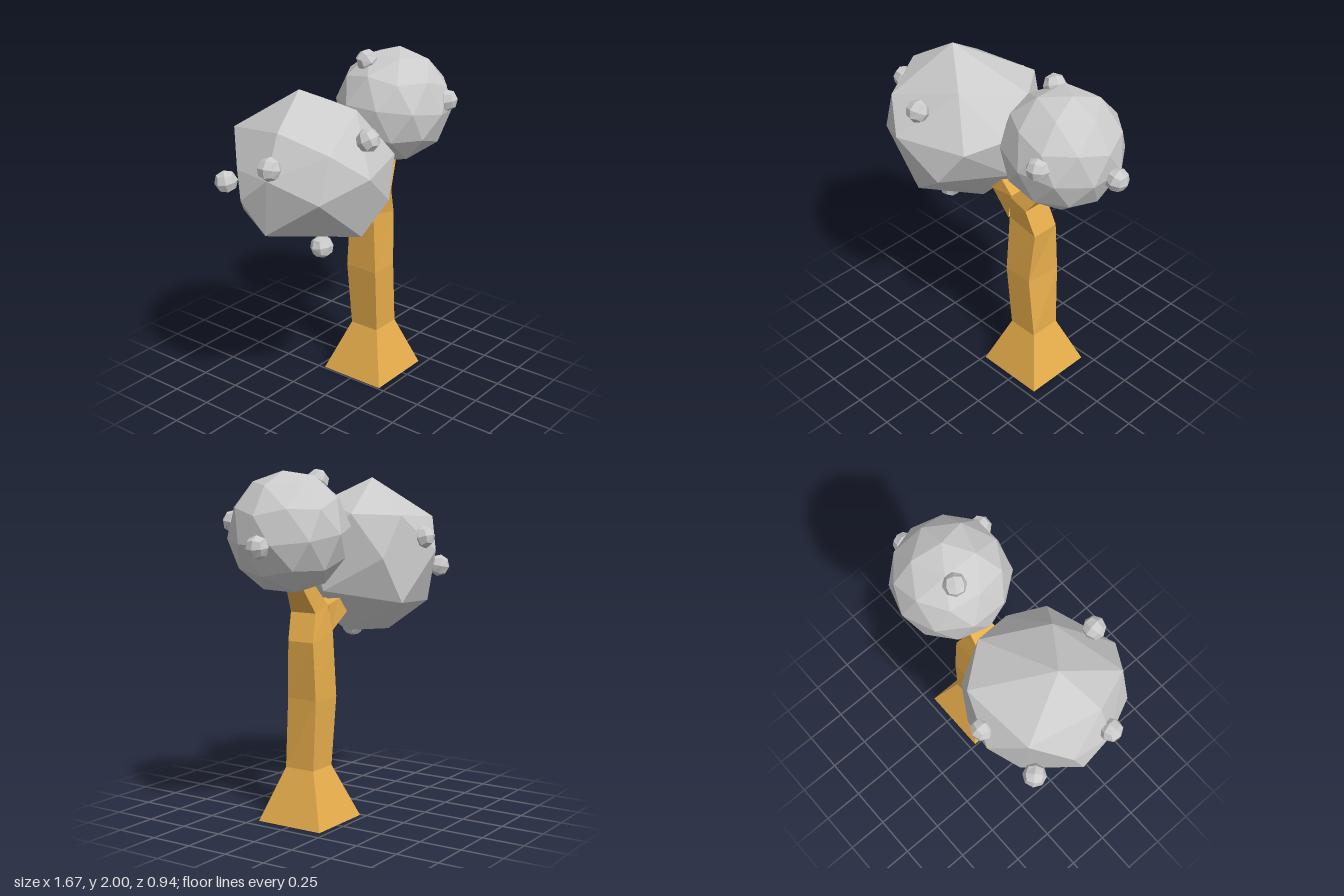
import * as THREE from 'three';
import { ConvexGeometry } from 'three/addons/geometries/ConvexGeometry.js';

const grey = new THREE.MeshStandardMaterial({ color: 0xcccccc, flatShading: true });
const wood = new THREE.MeshStandardMaterial({ color: 0xe8ae4c, flatShading: true, side: THREE.DoubleSide });

// Four corners of a section: left edge (xl, yl), right edge (xr, yr), front and back z
const section = ([xl, yl, xr, yr, zf, zb, twist = 0]) => [
  [xl, yl, zf], [xr - twist, yr, zf], [xr + twist, yr, zb], [xl, yl, zb]];

// Open four-sided skin through a list of sections
function loft(sections) {
  const pos = [], index = [];
  sections.map(section).forEach(s => s.forEach(p => pos.push(...p)));
  for (let r = 0; r < sections.length - 1; r++) {
    for (let i = 0; i < 4; i++) {
      const a = r * 4 + i, b = r * 4 + (i + 1) % 4;
      index.push(a, b, b + 4, a, b + 4, a + 4);
    }
  }
  const g = new THREE.BufferGeometry();
  g.setAttribute('position', new THREE.Float32BufferAttribute(pos, 3));
  g.setIndex(index);
  g.computeVertexNormals();
  return g;
}

// Ball made from a cube with each side split in four
function cubeBall(radius) {
  const g = new THREE.BoxGeometry(1, 1, 1, 2, 2, 2);
  const p = g.attributes.position, v = new THREE.Vector3();
  for (let i = 0; i < p.count; i++) {
    v.fromBufferAttribute(p, i).setLength(radius);
    p.setXYZ(i, v.x, v.y, v.z);
  }
  return g;
}

export function createModel() {
  const tree = new THREE.Group();
  tree.name = 'tree';
  const add = (name, geometry, material) => {
    const m = new THREE.Mesh(geometry, material);
    m.name = name;
    tree.add(m);
    return m;
  };

  // Trunk with flared foot, running on into the right-hand fork
  add('trunk', loft([
    [0.01, 0, 0.43, 0, 0.21, -0.21],
    [0.13, 0.31, 0.315, 0.31, 0.10, -0.09],
    [0.095, 0.71, 0.29, 0.71, 0.11, -0.10, 0.013],
    [0.10, 1.08, 0.30, 1.04, 0.09, -0.08],
    [0.125, 1.24, 0.245, 1.20, 0.11, -0.06],
    [0.31, 1.44, 0.39, 1.41, 0.05, -0.04],
  ]), wood);

  // Side branch into the large crown
  add('sideBranch', loft([
    [0.125, 1.24, 0.10, 1.08, 0.10, -0.07],
    [0.0, 1.26, -0.08, 1.17, 0.05, -0.05],
    [-0.12, 1.30, -0.15, 1.21, 0.045, -0.045],
  ]), wood);

  // Large faceted crown
  const largePoints = [
    [-0.445, 1.95, 0], [0.01, 1.75, -0.145], [-0.195, 1.81, 0.19], [-0.6, 1.69, 0.33],
    [-0.705, 1.79, 0.07], [-0.6, 1.72, -0.33], [-0.165, 1.74, -0.37],
    [-0.425, 1.54, 0.455], [-0.02, 1.54, 0.32], [0.07, 1.575, 0.105], [-0.165, 1.33, 0.39],
    [-0.68, 1.44, 0.32], [-0.8, 1.555, 0.07], [-0.805, 1.405, -0.11], [-0.77, 1.56, -0.16],
    [-0.42, 1.53, -0.455], [-0.05, 1.5, -0.32], [-0.165, 1.24, -0.38], [-0.55, 1.22, -0.33],
    [0.05, 1.305, 0.02], [-0.37, 1.175, 0.36], [-0.74, 1.21, 0],
    [-0.19, 1.05, 0.02], [-0.28, 1.07, -0.22],
  ].map(p => new THREE.Vector3(...p));
  add('largeCrown', new ConvexGeometry(largePoints), grey);

  // Small faceted crown, pole tipped slightly to the side
  const small = new THREE.IcosahedronGeometry(0.34, 1);
  small.rotateZ(-0.5536 - 0.16);
  add('smallCrown', small, grey).position.set(0.41, 1.66, 0);

  // Fruit sitting on the crowns
  const fruitGeometry = cubeBall(0.066);
  const crowns = [
    { centre: [-0.365, 1.5, 0], fruit: [[-0.33, 1.715, 0.37], [-0.785, 1.62, 0.08],
      [-0.39, 1.055, 0.1], [-0.67, 1.42, -0.34], [-0.34, 1.61, -0.42]] },
    { centre: [0.41, 1.66, 0], fruit: [[0.26, 1.94, -0.085], [0.515, 1.715, 0.3],
      [0.755, 1.6, -0.045]] },
  ];
  for (const { centre, fruit } of crowns) {
    for (const p of fruit) {
      const ball = add('fruit', fruitGeometry, grey);
      ball.position.set(...p);
      ball.lookAt(...centre);
    }
  }
  return tree;
}
